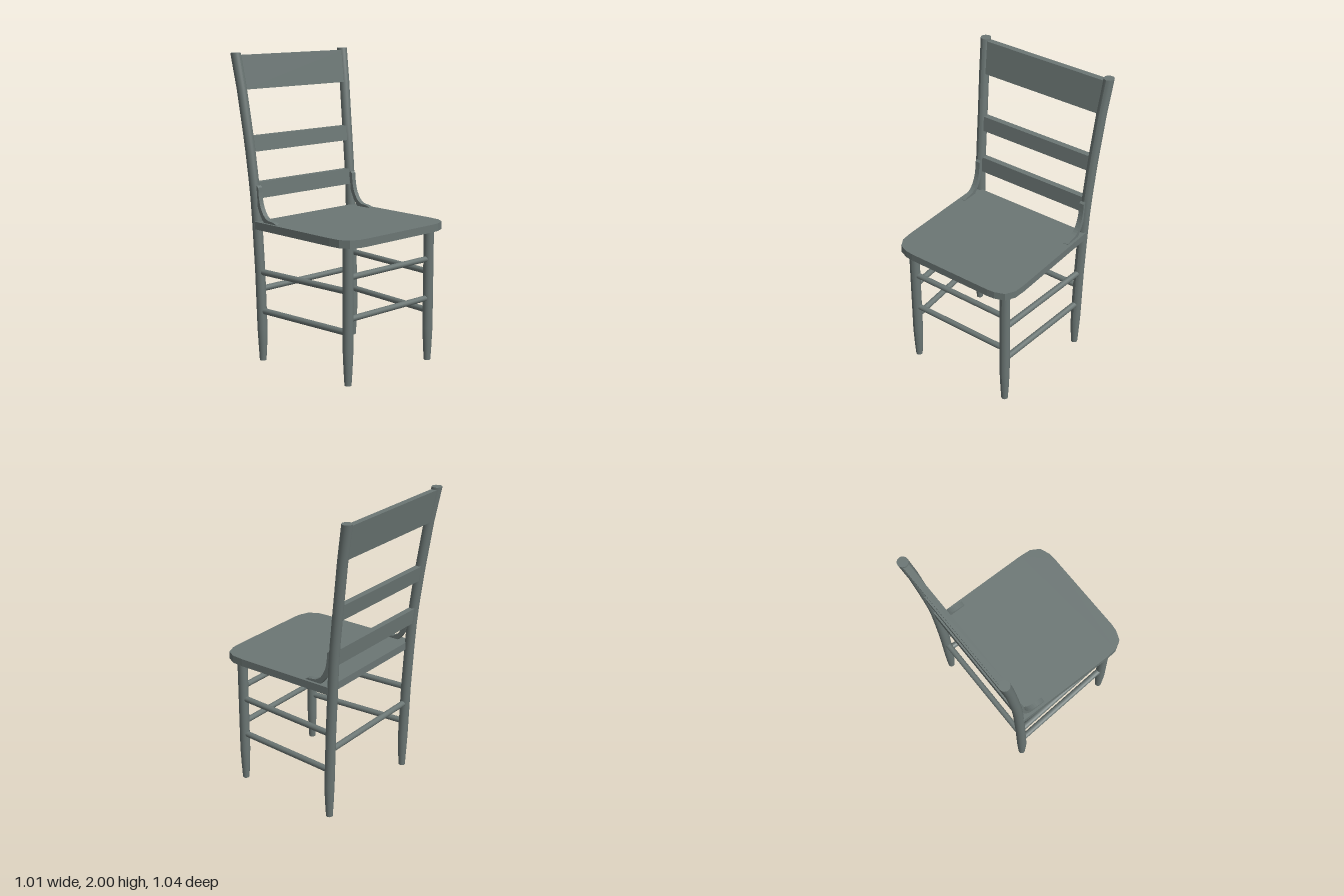
import * as THREE from 'three';

const wood = new THREE.MeshStandardMaterial({ color: 0x6b7674 });
wood.name = 'grey green paint';

// Centre line of the rear posts: [y, x, z, radius]
const POST = [
  [0, 0.415, -0.322, 0.022], [0.1, 0.415, -0.322, 0.028], [0.22, 0.416, -0.323, 0.033],
  [0.6, 0.418, -0.336, 0.033], [0.9, 0.422, -0.352, 0.033], [1.08, 0.426, -0.363, 0.033],
  [1.2, 0.43, -0.374, 0.033], [1.38, 0.436, -0.395, 0.033], [1.48, 0.44, -0.408, 0.033],
  [1.77, 0.455, -0.447, 0.033], [2, 0.469, -0.487, 0.034],
];
const FRONT_LEG = [
  [0, 0.365, 0.424, 0.022], [0.1, 0.365, 0.424, 0.028],
  [0.22, 0.365, 0.424, 0.033], [0.89, 0.365, 0.424, 0.033],
];

// Interpolate x and z of a centre line at height y
function at(line, y) {
  let i = 1;
  while (i < line.length - 1 && line[i][0] < y) i++;
  const a = line[i - 1], b = line[i], t = (y - a[0]) / (b[0] - a[0]);
  return new THREE.Vector3(a[1] + (b[1] - a[1]) * t, y, a[2] + (b[2] - a[2]) * t);
}

// Round upright whose rings follow a centre line
function upright(line, side) {
  const n = line.length - 1;
  const geo = new THREE.CylinderGeometry(1, 1, 1, 16, n);
  const p = geo.attributes.position;
  for (let i = 0; i < p.count; i++) {
    const [y, x, z, r] = line[Math.round((p.getY(i) + 0.5) * n)];
    p.setXYZ(i, side * x + p.getX(i) * r, y, z + p.getZ(i) * r);
  }
  geo.computeVertexNormals();
  return geo;
}

// Slat between the posts, leaning with them
function slat(y0, y1) {
  const geo = new THREE.BoxGeometry(2, 1, 0.04);
  const p = geo.attributes.position;
  for (let i = 0; i < p.count; i++) {
    const c = at(POST, p.getY(i) < 0 ? y0 : y1);
    p.setXYZ(i, Math.sign(p.getX(i)) * (c.x - 0.012), c.y, c.z + p.getZ(i));
  }
  geo.computeVertexNormals();
  return geo;
}

export function createModel() {
  const chair = new THREE.Group();
  chair.name = 'chair';
  const add = (geo, name) => {
    const mesh = new THREE.Mesh(geo, wood);
    mesh.name = name;
    chair.add(mesh);
    return mesh;
  };
  const rod = (a, b, name, r = 0.02) => {
    const d = b.clone().sub(a);
    const mesh = add(new THREE.CylinderGeometry(r, r, d.length(), 12), name);
    mesh.position.copy(a).add(b).multiplyScalar(0.5);
    mesh.quaternion.setFromUnitVectors(new THREE.Vector3(0, 1, 0), d.normalize());
  };
  const mirror = (v) => new THREE.Vector3(-v.x, v.y, v.z);

  // Seat board with clipped round front corners
  const corner = [[0.455, -0.34], [0.455, 0.35], [0.449, 0.43], [0.414, 0.49], [0.35, 0.515], [0.3, 0.52]];
  const outline = [...corner, ...corner.map(([x, z]) => [-x, z]).reverse()];
  const seatShape = new THREE.Shape(outline.map(([x, z]) => new THREE.Vector2(x, -z)));
  const seat = new THREE.ExtrudeGeometry(seatShape, { depth: 0.05, bevelEnabled: false });
  seat.rotateX(-Math.PI / 2).translate(0, 0.88, 0);
  add(seat, 'seat');

  // Curved bracket profile, drawn as (-z, y)
  const b = new THREE.Shape();
  b.moveTo(0.155, 0.93);
  b.lineTo(0.27, 0.93);
  b.quadraticCurveTo(0.31, 0.97, 0.335, 1.04);
  b.lineTo(0.352, 1.15);
  b.lineTo(0.335, 1.162);
  b.lineTo(0.322, 1.15);
  b.quadraticCurveTo(0.318, 1.05, 0.29, 1.005);
  b.quadraticCurveTo(0.262, 0.95, 0.215, 0.946);
  b.quadraticCurveTo(0.175, 0.945, 0.155, 0.932);

  for (const side of [1, -1]) {
    const hand = side > 0 ? 'left' : 'right';
    add(upright(FRONT_LEG, side), hand + 'FrontLeg');
    add(upright(POST, side), hand + 'RearPost');

    const bracket = new THREE.ExtrudeGeometry(b, { depth: 0.033, bevelEnabled: false, curveSegments: 6 });
    bracket.rotateY(Math.PI / 2).translate(side * 0.421 - 0.0165, 0, 0);
    add(bracket, hand + 'Bracket');

    for (const y of [0.335, 0.595]) {
      const f = at(FRONT_LEG, y), r = at(POST, y);
      f.x *= side;
      r.x *= side;
      rod(f, r, hand + 'Stretcher');
    }
  }

  // Cross stretchers: two in front, one behind
  for (const y of [0.42, 0.682]) {
    const f = at(FRONT_LEG, y);
    rod(f, mirror(f), 'frontStretcher', 0.019);
  }
  const back = at(POST, 0.48);
  rod(back, mirror(back), 'backStretcher');

  // Back slats
  for (const [y0, y1, name] of [[1.075, 1.18, 'lowerSlat'], [1.375, 1.475, 'middleSlat'], [1.77, 1.985, 'topSlat']]) {
    add(slat(y0, y1), name);
  }
  return chair;
}
